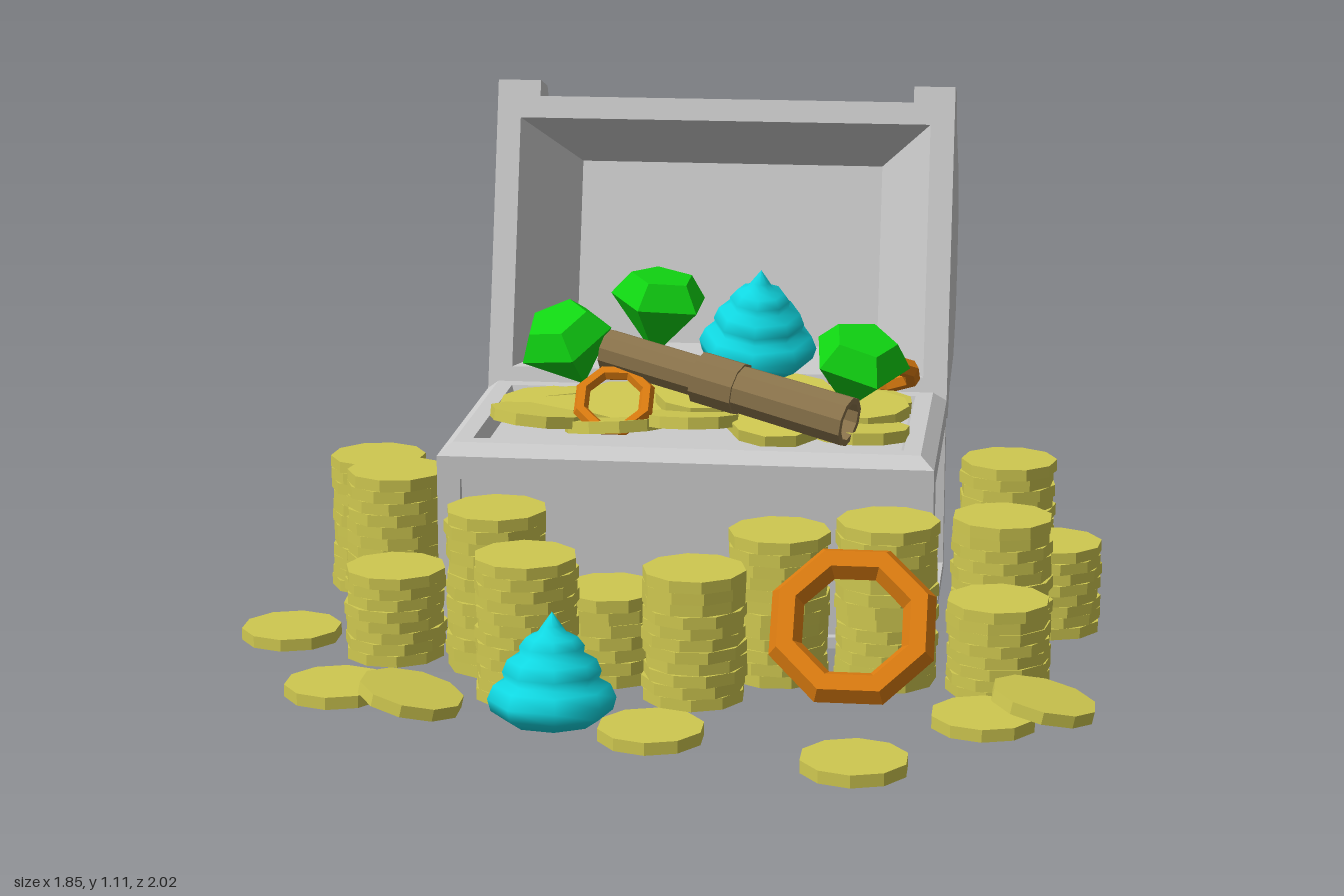
import * as THREE from 'three';
import { toCreasedNormals } from 'three/addons/utils/BufferGeometryUtils.js';

const mat = (color, flatShading = false) => new THREE.MeshStandardMaterial({ color, flatShading });
const grey = mat(0xcccccc), gold = mat(0xcfc850, true), cyan = mat(0x10d8e2),
  green = mat(0x10d412, true), orange = mat(0xdc7c10, true), brown = mat(0x8c754c, true);

let seed = 7;
const rand = () => (seed = (seed * 16807) % 2147483647) / 2147483647;

function add(parent, name, geo, material, pos = [0, 0, 0], rot = [0, 0, 0]) {
  const m = new THREE.Mesh(geo, material);
  m.name = name;
  m.position.set(...pos);
  m.rotation.set(...rot);
  parent.add(m);
  return m;
}

// joins successive rings of points with quads
function skin(rings, closed) {
  const v = [];
  for (let k = 0; k + 1 < rings.length; k++) {
    const a = rings[k], b = rings[k + 1], n = a.length;
    for (let i = 0; i < (closed ? n : n - 1); i++) {
      const j = (i + 1) % n;
      v.push(...a[i], ...a[j], ...b[j], ...a[i], ...b[j], ...b[i]);
    }
  }
  const g = new THREE.BufferGeometry();
  g.setAttribute('position', new THREE.Float32BufferAttribute(v, 3));
  g.computeVertexNormals();
  return toCreasedNormals(g, 0.6);
}

const X0 = -0.5, X1 = 0.565, Z0 = -0.47, Z1 = 0.165, CX = (X0 + X1) / 2, CZ = (Z0 + Z1) / 2;

function chestBase() {
  const g = new THREE.Group();
  g.name = 'chestBase';
  const rect = (i, y) => [[X1 - i, y, Z1 - i], [X1 - i, y, Z0 + i], [X0 + i, y, Z0 + i], [X0 + i, y, Z1 - i]];
  const point = (y) => Array(4).fill([CX, y, CZ]);
  // recessed walls, chamfered rim and inner floor
  add(g, 'chestBody', skin([point(0.02), rect(0.02, 0.02), rect(0.02, 0.37), rect(0, 0.37), rect(0, 0.42),
    rect(0.03, 0.445), rect(0.068, 0.445), rect(0.08, 0.41), point(0.41)], true), grey);
  const box = (name, x0, x1, y0, y1, z0, z1) => add(g, name, new THREE.BoxGeometry(x1 - x0, y1 - y0, z1 - z0),
    grey, [(x0 + x1) / 2, (y0 + y1) / 2, (z0 + z1) / 2]);
  // plain back, frames on the front and sides
  box('backPanel', X0, X1, 0.02, 0.37, Z0, Z0 + 0.04);
  box('frontRail', X0, X1, 0.02, 0.045, Z1 - 0.03, Z1);
  for (const s of [-1, 1]) {
    const xo = s < 0 ? X0 : X1 - 0.05;
    box('cornerPost', xo, xo + 0.05, 0.02, 0.37, Z1 - 0.04, Z1);
    box('sideRail', xo, xo + 0.05, 0.02, 0.045, Z0, Z1);
  }
  return g;
}

function chestLid() {
  const g = new THREE.Group();
  g.name = 'chestLid';
  const W = 0.758, xa = -0.4, xb = 0.47;
  const arch = (half) => [...half, ...half.slice(0, -1).reverse().map(([u, w]) => [W - u, w])];
  const outer = arch([[0, 0], [0, -0.098], [0.075, -0.167], [0.16, -0.364], [0.27, -0.443], [W / 2, -0.457]]);
  const inner = arch([[0.037, 0], [0.037, -0.085], [0.11, -0.155], [0.19, -0.338], [0.283, -0.407], [W / 2, -0.422]]);
  const ring = (p, x) => p.map(([u, w]) => [x, u, w]);
  const hub = (x) => outer.map(() => [x, W / 2, 0]);
  // thick end bands and lower middle arch
  add(g, 'lidShell', skin([hub(X0), ring(outer, X0), ring(outer, xa), ring(inner, xa),
    ring(inner, xb), ring(outer, xb), ring(outer, X1), hub(X1)], false), grey);
  // rim around the opening
  const shape = new THREE.Shape([[X0, 0], [xa, 0], [xa, 0.037], [xb, 0.037], [xb, 0], [X1, 0],
    [X1, W], [xb, W], [xb, W - 0.037], [xa, W - 0.037], [xa, W], [X0, W]].map((p) => new THREE.Vector2(...p)));
  const open = (ix, iu, w) => [[-0.445 + ix, 0.088 + iu, w], [0.51 - ix, 0.088 + iu, w],
    [0.51 - ix, 0.67 - iu, w], [-0.445 + ix, 0.67 - iu, w]];
  shape.holes.push(new THREE.Path(open(0, 0, 0).map(([x, y]) => new THREE.Vector2(x, y)).reverse()));
  add(g, 'lidRim', new THREE.ShapeGeometry(shape), grey);
  // tapered hollow
  add(g, 'lidInside', skin([open(0, 0, 0), open(0.12, 0.076, -0.21), Array(4).fill([CX, W / 2, -0.21])], true), grey);
  g.position.set(0, 0.385, -0.46);
  g.rotation.x = -0.274;
  return g;
}

const R = 0.108, T = 0.026;
const coinGeo = new THREE.CylinderGeometry(R, R, T, 10);

function coinStack(parent, x, z, top) {
  const g = new THREE.Group();
  g.name = 'coinStack';
  const n = Math.round(top / T), h = top / n;
  for (let i = 0; i < n; i++) {
    const c = add(g, 'coin', coinGeo, gold, [(rand() - 0.5) * 0.006, h * (i + 0.5), (rand() - 0.5) * 0.006], [0, rand() * 6, 0]);
    c.scale.y = h / T;
  }
  g.position.set(x, 0, z);
  parent.add(g);
}

const lathe = (pts, n) => new THREE.LatheGeometry(pts.map((p) => new THREE.Vector2(...p)), n);

export function createModel() {
  const root = new THREE.Group();
  root.name = 'treasureChest';
  root.add(chestBase(), chestLid());

  // coin stacks around the chest: x, z, height
  [[-0.72, -0.27, 0.305], [-0.625, 0, 0.345], [-0.58, 0.24, 0.195], [-0.35, 0.29, 0.345], [-0.255, 0.478, 0.3],
    [-0.1, 0.325, 0.19], [0.09, 0.45, 0.275], [0.248, 0.285, 0.315], [0.475, 0.29, 0.345], [0.71, -0.375, 0.312],
    [0.815, -0.12, 0.195], [0.71, 0.108, 0.312], [0.71, 0.33, 0.195]].forEach((s) => coinStack(root, ...s));

  // loose coins: x, y, z, tilt
  [[-0.82, 0.025, 0.195, 0], [-0.64, 0.025, 0.56, 0], [-0.47, 0.04, 0.63, -0.22], [0.038, 0.025, 0.755, 0],
    [0.45, 0.025, 0.89, 0], [0.69, 0.025, 0.6, 0], [0.808, 0.048, 0.545, -0.2]]
    .forEach(([x, y, z, t]) => add(root, 'looseCoin', coinGeo, gold, [x, y, z], [0, 0, t]));

  // coins heaped inside the chest
  for (let i = 0; i < 5; i++) for (let j = 0; j < 3; j++) {
    add(root, 'heapedCoin', coinGeo, gold, [-0.32 + i * 0.177 + (rand() - 0.5) * 0.03, 0.445 + rand() * 0.03 + (j === 1 ? 0.015 : 0),
      -0.28 + j * 0.128], [(rand() - 0.5) * 0.3, rand() * 6, (rand() - 0.5) * 0.3]);
  }

  // swirled cyan pieces
  const swirl = lathe([[0, 0], [0.09, 0.003], [0.123, 0.025], [0.13, 0.05], [0.118, 0.078], [0.094, 0.088], [0.1, 0.105],
    [0.09, 0.13], [0.064, 0.142], [0.066, 0.158], [0.052, 0.176], [0.03, 0.185], [0.02, 0.2], [0, 0.228]], 8);
  add(root, 'swirl', swirl, cyan, [-0.17, 0.015, 0.695], [-0.06, 0.2, 0]);
  add(root, 'swirl', swirl, cyan, [0.155, 0.56, -0.185], [0.22, 0, -0.06]);

  // five-sided cut gems
  const gem = lathe([[0, -0.13], [0.112, 0], [0.072, 0.055], [0, 0.055]], 5);
  add(root, 'gem', gem, green, [-0.28, 0.6, -0.22], [0.3, 0.3, 0.3]);
  add(root, 'gem', gem, green, [-0.065, 0.69, -0.23], [0.25, 0.9, -0.2]);
  add(root, 'gem', gem, green, [0.39, 0.6, -0.08], [0.42, 0.4, -0.25]);

  // octagonal rings
  const ring = (r, t) => new THREE.TorusGeometry(r, t, 6, 8).rotateZ(Math.PI / 8);
  add(root, 'largeRing', ring(0.145, 0.036), orange, [0.42, 0.183, 0.515], [-0.68, 0, 0]);
  add(root, 'smallRing', ring(0.076, 0.017), orange, [-0.138, 0.513, 0], [-0.8, 0, 0]);
  add(root, 'smallRing', ring(0.095, 0.021), orange, [0.402, 0.52, -0.305], [1.07, 0, 0]);

  // telescope laid across the heap
  const a = new THREE.Vector3(-0.165, 0.605, -0.095), b = new THREE.Vector3(0.385, 0.505, 0.105);
  const scope = add(root, 'telescope', lathe([[0, 0], [0.046, 0], [0.046, 0.23], [0.058, 0.23], [0.058, 0.33],
    [0.053, 0.33], [0.055, 0.59], [0.041, 0.59], [0.041, 0.45], [0, 0.45]], 10), brown, a.toArray());
  scope.quaternion.setFromUnitVectors(new THREE.Vector3(0, 1, 0), b.sub(a).normalize());

  return root;
}
